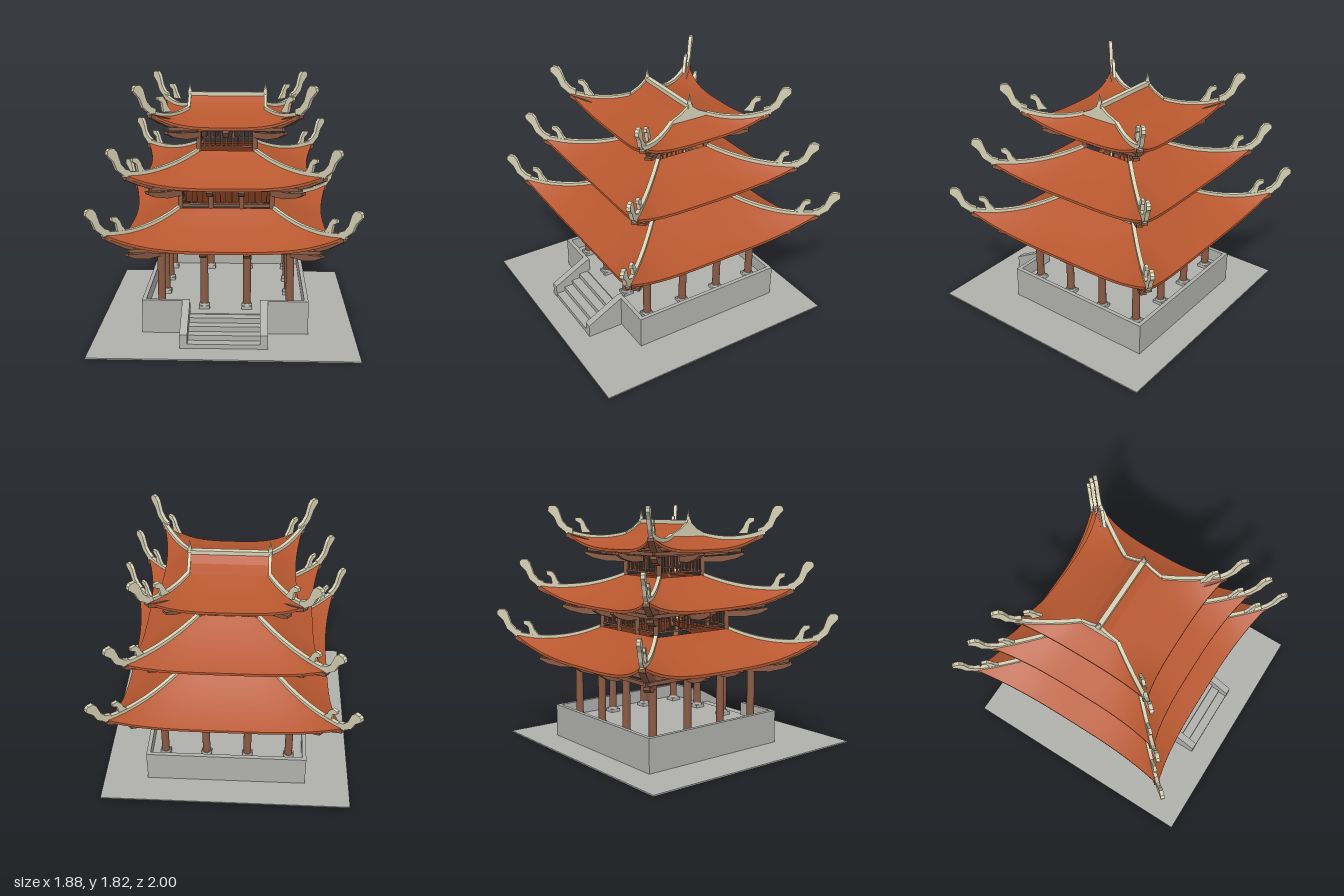
import * as THREE from 'three';
import { toCreasedNormals } from 'three/addons/utils/BufferGeometryUtils.js';

const material = (name, color, side = THREE.FrontSide) => {
  const m = new THREE.MeshStandardMaterial({ color, side });
  m.name = name;
  return m;
};

export function createModel() {
  const tile = material('terracotta', 0xb7572f, THREE.DoubleSide);
  const wood = material('brown wood', 0x8a5a44);
  const stone = material('grey stone', 0xafafac);
  const cream = material('cream plaster', 0xd6d0b4);

  const model = new THREE.Group();
  model.name = 'pagoda';
  const tower = new THREE.Group();
  tower.name = 'tower';
  tower.position.z = -0.063;
  model.add(tower);

  const add = (name, geo, mat, parent = tower) => {
    const mesh = new THREE.Mesh(geo, mat);
    mesh.name = name;
    parent.add(mesh);
    return mesh;
  };
  const box = (name, mat, w, h, d, x, y, z, parent) =>
    add(name, new THREE.BoxGeometry(w, h, d).translate(x, y, z), mat, parent);
  // Flat outline in the (distance, height) plane, given a centred thickness
  const slab = (pts, width) => new THREE.ExtrudeGeometry(
    new THREE.Shape(pts.map(p => new THREE.Vector2(p[0], p[1]))),
    { depth: width, bevelEnabled: false }).translate(0, 0, -width / 2);
  // Repeat a slab at the four corners, pointing along (dx, dz)
  const atCorners = (name, pts, width, mat, ox, oz, dx = 1, dz = 1) => {
    for (const sx of [-1, 1]) for (const sz of [-1, 1])
      add(name, slab(pts, width).rotateY(Math.atan2(-sz * dz, sx * dx))
        .translate(sx * ox, 0, sz * oz), mat);
  };

  // Ground slab and walled platform
  box('ground', stone, 1.88, 0.01, 1.89, 0, 0.005, 0.055, model);
  const P = 0.605, T = 0.03, FLOOR = 0.16, WALL = 0.26, OPEN = 0.31;
  box('platformFloor', stone, 2 * P - 0.01, FLOOR - 0.01, 2 * P - 0.01, 0, (FLOOR + 0.01) / 2, 0);
  const wallY = (WALL + 0.01) / 2, wallH = WALL - 0.01;
  box('backWall', stone, 2 * P, wallH, T, 0, wallY, -P + T / 2);
  for (const s of [-1, 1]) {
    box('sideWall', stone, T, wallH, 2 * P, s * (P - T / 2), wallY, 0);
    box('frontWall', stone, P - OPEN, wallH, T, s * (P + OPEN) / 2, wallY, P - T / 2);
    // Sloping stair cheek
    add('stairCheek', slab([[0.575, 0.01], [0.882, 0.01], [0.882, 0.11], [P, WALL], [0.575, WALL]], 0.055)
      .rotateY(-Math.PI / 2).translate(s * 0.2825, 0, 0), stone);
  }
  for (let i = 0; i < 4; i++) {
    const h = 0.145 - i * 0.038;
    box('step', stone, 0.52, h, 0.07, 0, 0.01 + h / 2, 0.638 + i * 0.069);
  }

  // Curved skirt roof: four sides, eaves bowed outward and lifted at the corners
  function roof({ ax, az, corner, mid, y, drop, lift }) {
    const height = (u, v) => y - drop * (1.35 * v - 0.35 * v * v) + lift * v * v * Math.abs(u) ** 3.3;
    const NU = 28, NV = 10, rows = [];
    for (let j = 0; j <= NV; j++) rows.push([j / NV, 0]);
    for (let j = NV; j >= 0; j--) rows.push([j / NV, 0.02]);
    for (let k = 0; k < 4; k++) {
      const [a, b] = k % 2 ? [ax, az] : [az, ax];
      const pos = [], index = [];
      rows.forEach(([v, down], j) => {
        for (let i = 0; i <= NU; i++) {
          const u = i / NU * 2 - 1;
          const eave = mid + (corner - mid) * Math.abs(u) ** 3;
          pos.push(u * (b + (corner - b) * v), height(u, v) - down, a + (eave - a) * v);
          if (i < NU && j < rows.length - 1) {
            const p = j * (NU + 1) + i, q = p + NU + 1;
            index.push(p, q, p + 1, p + 1, q, q + 1);
          }
        }
      });
      const g = new THREE.BufferGeometry();
      g.setAttribute('position', new THREE.Float32BufferAttribute(pos, 3));
      g.setIndex(index);
      add('roofSide', toCreasedNormals(g.rotateY(k * Math.PI / 2), 0.6), tile);
    }
    // Hip ridges
    const dx = corner - ax, dz = corner - az, L = Math.hypot(dx, dz);
    const upper = [], lower = [];
    for (let j = 0; j <= 12; j++) {
      const v = j / 12, h = height(1, v);
      upper.push([v * L, h + 0.018]);
      lower.unshift([v * L, h - 0.022]);
    }
    atCorners('hipRidge', upper.concat(lower), 0.028, cream, ax, az, dx, dz);
    // Upswept corner finial and the smaller curl behind it
    const Y = height(1, 1), R = Math.SQRT2;
    const big = [[-0.04, -0.02], [0, -0.01], [0.04, 0.035], [0.06, 0.1], [0.094, 0.15], [0.092, 0.175],
      [0.08, 0.19], [0.053, 0.19], [0.035, 0.16], [0.015, 0.075], [-0.01, 0.035], [-0.04, 0.018]];
    const small = [[-0.14, -0.015], [-0.09, -0.015], [-0.08, 0.055], [-0.055, 0.075], [-0.055, 0.1],
      [-0.085, 0.1], [-0.105, 0.065], [-0.115, 0.03]];
    atCorners('cornerFinial', big.map(p => [p[0] * R, Y + p[1]]), 0.028, cream, corner, corner);
    atCorners('smallFinial', small.map(p => [p[0] * R, Y + p[1]]), 0.024, cream, corner, corner);
    return Y;
  }

  // Timber frame of one storey: columns, beams, bracket arms, purlins, hip rafters
  function storey({ h, y0, top, r, cols, armsX, armsZ, corner, cornerY }) {
    for (const [x, z] of cols)
      add('column', new THREE.CylinderGeometry(r, r, top - y0, 16).translate(x, (top + y0) / 2, z), wood);
    const reach = 0.2;
    for (const s of [-1, 1]) {
      box('beam', wood, 2 * h + 0.05, 0.042, 0.04, 0, top - 0.021, s * h);
      box('beam', wood, 0.04, 0.042, 2 * h + 0.05, s * h, top - 0.021, 0);
      const e = h + reach;
      box('purlin', wood, 2 * e, 0.026, 0.026, 0, top - 0.005, s * e);
      box('purlin', wood, 0.026, 0.026, 2 * e, s * e, top - 0.005, 0);
    }
    const arm = [[0, top - 0.085], [0.1, top - 0.085], [0.18, top - 0.06], [0.225, top - 0.03],
      [0.225, top - 0.01], [0.15, top - 0.03], [0, top - 0.045]];
    for (const s of [-1, 1]) {
      for (const x of armsX) add('bracketArm', slab(arm, 0.045).rotateY(-s * Math.PI / 2).translate(x, 0, s * h), wood);
      for (const z of armsZ) add('bracketArm', slab(arm, 0.045).rotateY(s > 0 ? 0 : Math.PI).translate(s * h, 0, z), wood);
    }
    atCorners('cornerArm', arm.map(p => [p[0] * 1.38, p[1] - 0.01]), 0.045, wood, h, h);
    const D = (corner - h) * Math.SQRT2, rise = cornerY - top;
    const rafter = [[0, -0.05, 0], [0.38, -0.035, 0], [0.7, -0.03, 0.4], [0.98, -0.045, 1],
      [0.98, -0.018, 1], [0.66, 0, 0.58], [0.33, 0.005, 0.16], [0, 0.005, 0]];
    atCorners('hipRafter', rafter.map(([f, o, k]) => [f * D, top + o + k * rise]), 0.045, wood, h, h);
  }

  // Open balustrade round a storey
  function railing(h, low, high, n) {
    const span = 2 * h - 0.04;
    for (let k = 0; k < 4; k++) {
      const side = new THREE.Group();
      side.name = 'railing';
      side.rotation.y = k * Math.PI / 2;
      tower.add(side);
      box('rail', wood, span, 0.012, 0.014, 0, low, h, side);
      for (let i = 0; i < n; i++)
        box('baluster', wood, 0.01, high - low, 0.01, ((i + 0.5) / n - 0.5) * span, (low + high) / 2, h, side);
    }
  }

  // The three roofs
  const y1 = roof({ ax: 0.35, az: 0.35, corner: 0.835, mid: 0.752, y: 0.89, drop: 0.215, lift: 0.15 });
  const y2 = roof({ ax: 0.215, az: 0.215, corner: 0.7, mid: 0.618, y: 1.295, drop: 0.2, lift: 0.12 });
  const y3 = roof({ ax: 0.285, az: 0.15, corner: 0.535, mid: 0.475, y: 1.6, drop: 0.095, lift: 0.12 });

  // Ground storey with twelve columns on stone bases
  const ring = [];
  const grid = [-0.472, -0.157, 0.157, 0.472];
  for (const x of grid) for (const z of grid)
    if (Math.max(Math.abs(x), Math.abs(z)) > 0.4) ring.push([x, z]);
  for (const [x, z] of ring) {
    box('columnBase', stone, 0.08, 0.025, 0.08, x, FLOOR + 0.012, z);
    add('columnFoot', new THREE.CylinderGeometry(0.034, 0.04, 0.016, 16).translate(x, FLOOR + 0.032, z), stone);
  }
  const inner = [-0.157, 0.157];
  storey({ h: 0.472, y0: FLOOR, top: 0.66, r: 0.029, cols: ring, armsX: inner, armsZ: inner, corner: 0.835, cornerY: y1 });
  box('plaque', cream, 0.24, 0.075, 0.015, 0, 0.622, 0.435);

  // Middle and upper storeys
  const corners = h => [[-h, -h], [h, -h], [-h, h], [h, h]];
  const mids = [-0.113, 0.113];
  storey({ h: 0.338, y0: 0.87, top: 1.08, r: 0.018,
    cols: [...corners(0.338), ...mids.flatMap(x => [[x, -0.338], [x, 0.338]])],
    armsX: mids, armsZ: [0], corner: 0.7, cornerY: y2 });
  railing(0.338, 0.922, 1.045, 15);
  storey({ h: 0.208, y0: 1.28, top: 1.49, r: 0.018, cols: corners(0.208),
    armsX: [0], armsZ: [0], corner: 0.535, cornerY: y3 });
  railing(0.208, 1.328, 1.455, 9);

  // Upper gabled roof with ridge, gables and end spikes
  const gable = (o) => [[-0.15, 1.575], [0.15, 1.575], [0.15, 1.6 + o], [0.07, 1.638 + o], [0.03, 1.67 + o],
    [0, 1.695 + o], [-0.03, 1.67 + o], [-0.07, 1.638 + o], [-0.15, 1.6 + o]];
  add('gableRoof', slab(gable(0), 0.56).rotateY(Math.PI / 2), tile);
  box('mainRidge', cream, 0.6, 0.03, 0.036, 0, 1.695, 0);
  for (const s of [-1, 1]) {
    add('gableEnd', slab(gable(0.014), 0.022).rotateY(Math.PI / 2).translate(s * 0.285, 0, 0), cream);
    add('ridgeSpike', new THREE.ConeGeometry(0.022, 0.1, 6).translate(s * 0.285, 1.74, 0), cream);
  }
  return model;
}
